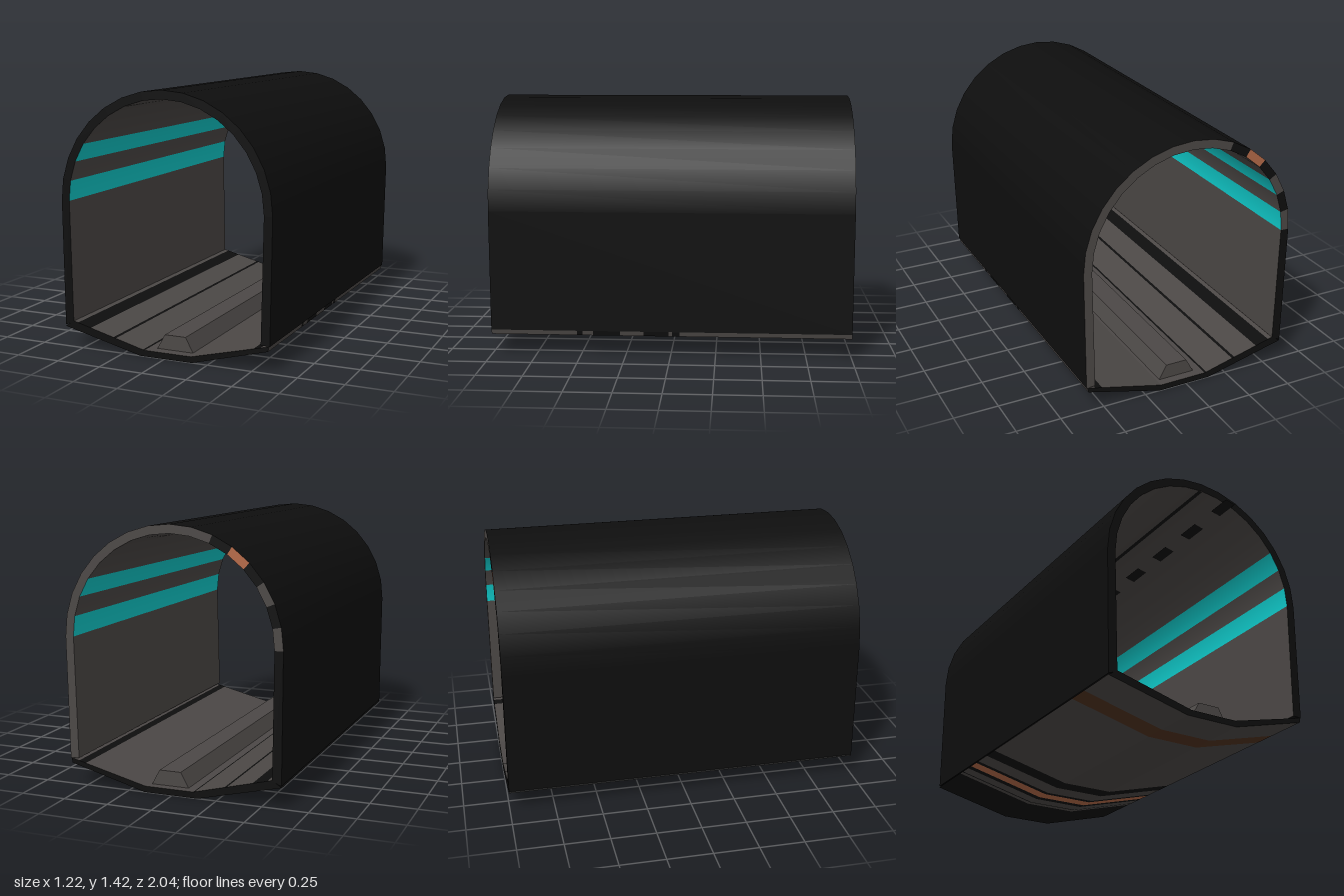
import * as THREE from 'three';

const paint = (name, color) => {
  const m = new THREE.MeshStandardMaterial({ color });
  m.name = name;
  return m;
};

export function createModel() {
  const root = new THREE.Group();
  root.name = 'tunnelSection';
  const black = paint('black lining', 0x0e0e0e);
  const grey = paint('dark concrete', 0x4c4846);
  const cyan = paint('cyan light', 0x10cccc);
  const copper = paint('copper', 0xb56a48);
  const rust = paint('dark rust', 0x51321f);

  const group = (name) => {
    const g = new THREE.Group();
    g.name = name;
    root.add(g);
    return g;
  };
  const addMesh = (parent, name, geo, mat) => {
    const m = new THREE.Mesh(geo, mat);
    m.name = name;
    parent.add(m);
  };

  // Rectangle swept along z from the line a-b; it faces left of the direction a to b
  const strip = (parent, name, a, b, mat, z0 = -1, z1 = 1, na, nb) => {
    const len = Math.hypot(b[0] - a[0], b[1] - a[1]);
    const flat = [(a[1] - b[1]) / len, (b[0] - a[0]) / len];
    const p = na || flat, q = nb || flat;
    const geo = new THREE.BufferGeometry();
    geo.setAttribute('position', new THREE.Float32BufferAttribute(
      [...a, z1, ...b, z1, ...b, z0, ...a, z0], 3));
    geo.setAttribute('normal', new THREE.Float32BufferAttribute(
      [...p, 0, ...q, 0, ...q, 0, ...p, 0], 3));
    geo.setIndex([0, 1, 2, 0, 2, 3]);
    addMesh(parent, name, geo, mat);
  };

  // Flat end face on the front (z = 1) or back (z = -1)
  const cap = (parent, name, pts, z, mat) => {
    const geo = new THREE.ShapeGeometry(
      new THREE.Shape(pts.map(([x, y]) => new THREE.Vector2(x * z, y))));
    if (z < 0) geo.rotateY(Math.PI);
    geo.translate(0, 0, z);
    addMesh(parent, name, geo, mat);
  };

  // Wall and arch section, from the left foot over the crown to the right foot
  const N = 16, springY = 0.81;
  const arc = (rx, ry) => Array.from({ length: N + 1 }, (_, k) => {
    const t = (Math.PI * k) / N;
    return [rx * Math.cos(t), springY + ry * Math.sin(t)];
  });
  const outer = [[0.6, 0.142], ...arc(0.612, 0.61), [-0.606, 0.12]];
  const inner = [[0.55, 0.145], ...arc(0.565, 0.563), [-0.556, 0.14]];
  const radial = (k, s) => {
    const t = (Math.PI * (k - 1)) / N;
    return [s * Math.cos(t), s * Math.sin(t)];
  };

  const shell = group('outerShell');
  const lining = group('innerLining');
  const ends = group('endFaces');
  const lightSegs = [1, 3, 14, 16];
  const blackBack = [11, 13, 15, 17];
  for (let i = 0; i <= N + 1; i++) {
    const curved = i > 0 && i <= N;
    strip(shell, 'shellPanel', outer[i + 1], outer[i], black, -1, 1,
      curved && radial(i + 1, 1), curved && radial(i, 1));
    const lit = lightSegs.includes(i);
    strip(lining, lit ? 'lightStrip' : 'liningPanel', inner[i], inner[i + 1], lit ? cyan : grey, -1, 1,
      curved && radial(i, -1), curved && radial(i + 1, -1));
    const quad = [inner[i], outer[i], outer[i + 1], inner[i + 1]];
    cap(ends, 'frontRim', quad, 1, black);
    cap(ends, 'backRim', quad, -1, i === 12 ? copper : blackBack.includes(i) ? black : grey);
  }
  strip(shell, 'leftFoot', outer[0], inner[0], black);
  strip(shell, 'rightFoot', inner[N + 2], outer[N + 2], black);

  // Thin dark seam along the crown and short dashes beside it
  const seams = group('crownSeams');
  strip(seams, 'crownSeam', [0.005, 1.369], [-0.02, 1.368], black);
  for (let z = -0.9; z < 0.9; z += 0.3) {
    strip(seams, 'crownDash', [0.2, 1.332], [0.14, 1.345], black, z, z + 0.14);
  }

  // Floor top, divided lengthwise into concrete and dark seams
  const floor = group('floor');
  const topY = (x) => (x < -0.12 ? 0.033 + ((-0.12 - x) / 0.435) * 0.112
    : x > 0.155 ? 0.033 + ((x - 0.155) / 0.44) * 0.109 : 0.033);
  const bands = [
    [-0.555, grey], [-0.53, black], [-0.45, grey], [-0.31, black], [-0.295, grey],
    [-0.13, black], [-0.12, grey], [0.155, grey], [0.51, black], [0.55, grey], [0.595, null],
  ];
  for (let i = 0; i < bands.length - 1; i++) {
    const [x0, mat] = bands[i], x1 = bands[i + 1][0];
    strip(floor, 'floorTop', [x0, topY(x0)], [x1, topY(x1)], mat);
  }

  // Underside, divided crosswise into coloured bands
  const under = [[0.59, 0.115], [0.16, 0], [-0.145, 0], [-0.608, 0.112]];
  const crossBands = [
    [1, grey], [0.77, rust], [0.65, grey], [-0.23, black], [-0.33, grey], [-0.44, black],
    [-0.47, copper], [-0.54, black], [-0.58, grey], [-0.65, black], [-0.66, grey],
    [-0.69, black], [-1, null],
  ];
  for (let j = 0; j < crossBands.length - 1; j++) {
    const [z1, mat] = crossBands[j], z0 = crossBands[j + 1][0];
    for (let i = 0; i < 3; i++) strip(floor, 'floorUnderside', under[i], under[i + 1], mat, z0, z1);
  }

  // Floor edges and ends; the left edge has a few dark gaps
  const edgeBands = [
    [1, grey], [0.52, black], [0.49, grey], [0.43, black], [0.28, grey],
    [0.15, black], [0.01, grey], [-0.01, black], [-0.05, grey], [-1, null],
  ];
  for (let j = 0; j < edgeBands.length - 1; j++) {
    strip(floor, 'leftFloorEdge', [0.595, 0.142], [0.59, 0.115], edgeBands[j][1],
      edgeBands[j + 1][0], edgeBands[j][0]);
  }
  strip(floor, 'rightFloorEdge', [-0.608, 0.112], [-0.555, 0.145], black);
  const section = [[-0.555, 0.145], [-0.12, 0.033], [0.155, 0.033], [0.595, 0.142], ...under];
  for (const z of [1, -1]) cap(ends, 'floorEnd', section, z, black);

  // Raised track beam in the middle of the floor
  const beamShape = new THREE.Shape([[-0.075, 0.03], [0.14, 0.03], [0.095, 0.114], [-0.028, 0.114]]
    .map(([x, y]) => new THREE.Vector2(x, y)));
  const beam = new THREE.ExtrudeGeometry(beamShape, { depth: 1.89, bevelEnabled: false });
  beam.translate(0, 0, -0.95);
  addMesh(root, 'trackBeam', beam, grey);

  return root;
}
